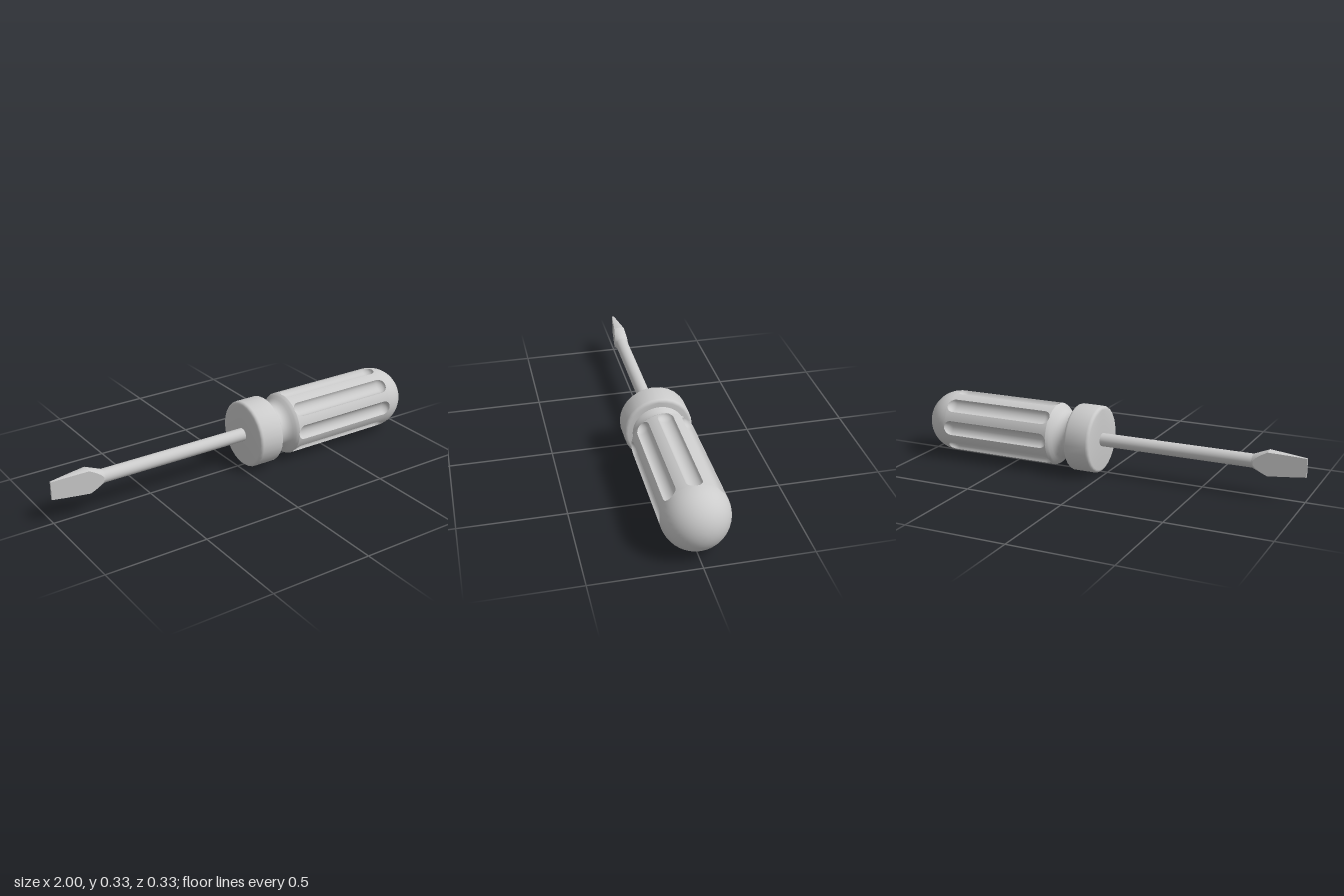
import * as THREE from 'three';
import { toCreasedNormals } from 'three/addons/utils/BufferGeometryUtils.js';

const AXIS_Y = 0.167;
const material = new THREE.MeshStandardMaterial({ color: 0xcccccc });

// Skins a list of equal-length rings of [x, y, z], running along +x, and closes both ends.
function loft(name, rings, crease = 0.6) {
  const n = rings[0].length;
  const positions = rings.flat(2);
  const index = [];
  for (let i = 0; i < rings.length - 1; i++) {
    for (let j = 0; j < n; j++) {
      const a = i * n + j, b = i * n + (j + 1) % n;
      index.push(a, b, a + n, b, b + n, a + n);
    }
  }
  const last = (rings.length - 1) * n;
  for (let j = 1; j < n - 1; j++) {
    index.push(0, j + 1, j, last, last + j, last + j + 1);
  }
  let geometry = new THREE.BufferGeometry();
  geometry.setAttribute('position', new THREE.Float32BufferAttribute(positions, 3));
  geometry.setIndex(index);
  // enlarged while creasing so that close vertices stay distinct
  geometry.scale(1000, 1000, 1000);
  geometry = toCreasedNormals(geometry, crease);
  geometry.scale(0.001, 0.001, 0.001);
  const mesh = new THREE.Mesh(geometry, material);
  mesh.name = name;
  return mesh;
}

const polar = (x, r, a) => [x, r * Math.cos(a), r * Math.sin(a)];

function revolve(name, profile, sides) {
  return loft(name, profile.map(([x, r]) =>
    Array.from({ length: sides }, (_, j) => polar(x, r, (j / sides) * Math.PI * 2))));
}

// Handle: waisted neck, fluted cylinder and domed end
function createHandle() {
  const R = 0.156, domeX = 1 - R;
  const neck = [[0.15, 0.13], [0.162, 0.128], [0.17, 0.121], [0.182, 0.115], [0.198, 0.112],
    [0.214, 0.115], [0.228, 0.122], [0.24, 0.133], [0.25, 0.145], [0.257, 0.151], [0.266, R]];
  const radius = (x) => {
    if (x >= domeX) return Math.sqrt(Math.max(0, R * R - (x - domeX) ** 2));
    for (let i = 1; i < neck.length; i++) {
      const [x0, r0] = neck[i - 1], [x1, r1] = neck[i];
      if (x <= x1) return r0 + (r1 - r0) * (x - x0) / (x1 - x0);
    }
    return R;
  };

  // Round-ended flutes
  const start = 0.264, end = 0.852, W = 0.037, depth = 0.028, flutes = 8;
  const halfWidth = (x) => {
    if (x <= start || x >= end) return 0;
    const d = Math.max(0, start + W - x, x - (end - W));
    return Math.sqrt(Math.max(0, W * W - d * d));
  };

  const stations = neck.map((p) => p[0]);
  for (let i = 0; i <= 8; i++) {
    const s = W * (1 - Math.cos((i / 8) * Math.PI / 2));
    stations.push(start + s, end - s);
  }
  for (let i = 0; i <= 16; i++) stations.push(domeX + R * Math.sin((i / 16) * Math.PI / 2));
  stations.sort((a, b) => a - b);

  const rings = stations.map((x) => {
    const r = radius(x), w = halfWidth(x), ring = [];
    const half = r > 0.03 ? Math.asin(w / r) : 0;
    const sector = (Math.PI * 2) / flutes;
    for (let k = 0; k < flutes; k++) {
      for (let i = 0; i <= 10; i++) {
        const t = -Math.cos((i / 10) * Math.PI);
        const dip = depth * (w / W) * Math.sin((i / 10) * Math.PI);
        ring.push(polar(x, r - dip, k * sector + t * half));
      }
      for (let i = 1; i < 6; i++) {
        ring.push(polar(x, r, k * sector + half + (sector - 2 * half) * (i / 6)));
      }
    }
    return ring;
  });
  return loft('handle', rings);
}

// Blade: flared round bar cut by two flat planes that taper to the tip
function createBlade() {
  const radius = (x) => x < -0.82
    ? 0.045 + (0.063 - 0.045) * (x + 1) / 0.18
    : 0.063 + (0.033 - 0.063) * (x + 0.82) / 0.075;
  const stations = [-1, -0.94, -0.88, -0.82];
  for (let i = 1; i <= 10; i++) stations.push(-0.82 + 0.0075 * i);
  const rings = stations.map((x) => {
    const r = radius(x), h = 0.005 + 0.122 * (x + 1);
    const phi = Math.asin(Math.min(1, h / r));
    const ring = [];
    for (const side of [0, Math.PI]) {
      for (let i = 0; i <= 12; i++) ring.push(polar(x, r, side + phi * (i / 6 - 1)));
    }
    return ring;
  });
  return loft('blade', rings, 0.35);
}

export function createModel() {
  const model = new THREE.Group();
  model.name = 'screwdriver';

  // Collar with rounded rims
  const collar = [], bevel = 0.016, x0 = 0.027, x1 = 0.162, r = 0.167;
  for (let i = 0; i <= 4; i++) {
    const a = (i / 4) * Math.PI / 2;
    collar.push([x0 + bevel * (1 - Math.cos(a)), r - bevel * (1 - Math.sin(a))]);
  }
  for (let i = 4; i >= 0; i--) {
    const a = (i / 4) * Math.PI / 2;
    collar.push([x1 - bevel * (1 - Math.cos(a)), r - bevel * (1 - Math.sin(a))]);
  }

  model.add(
    createHandle(),
    revolve('collar', collar, 28),
    revolve('shaft', [[-0.745, 0.033], [0.05, 0.033]], 24),
    createBlade(),
  );
  for (const part of model.children) part.position.y = AXIS_Y;
  return model;
}
